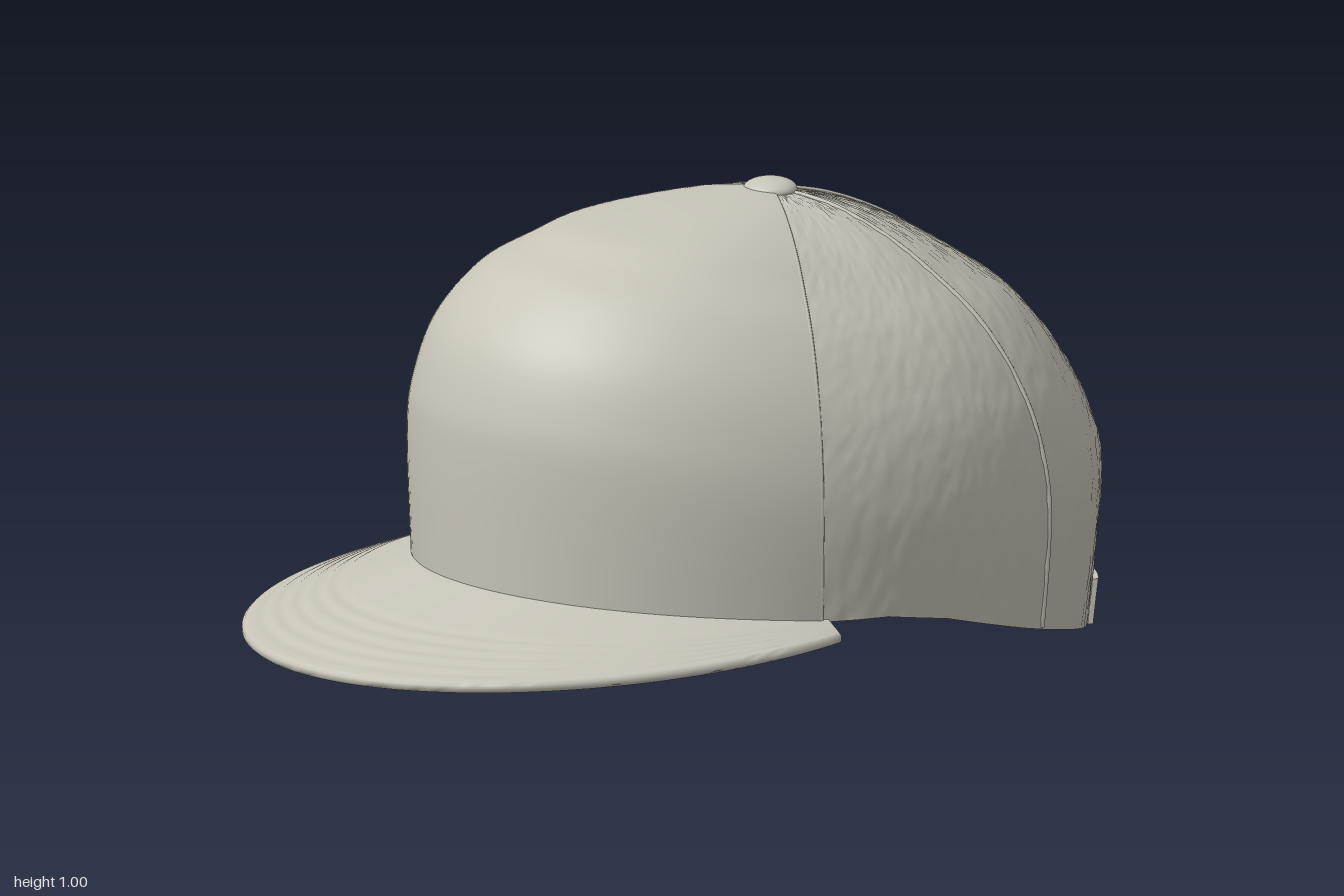
import * as THREE from 'three';
import { toCreasedNormals } from 'three/addons/utils/BufferGeometryUtils.js';

const V2 = (p) => new THREE.Vector2(p[0], p[1]);
const AXIS_Z = -0.26, TOP = 0.98, SEAM = Math.PI / 3, ARCH = 0.285;

// Crown profiles from button to rim: [fraction of radius, fraction of height]
const front = new THREE.SplineCurve([[0, 1], [0.32, 0.99], [0.56, 0.965], [0.68, 0.92], [0.805, 0.86],
  [0.927, 0.72], [0.985, 0.55], [1, 0.39], [0.99, 0]].map(V2));
const side = new THREE.SplineCurve([[0, 1], [0.22, 0.975], [0.44, 0.905], [0.61, 0.82], [0.76, 0.725],
  [0.88, 0.6], [0.96, 0.46], [1, 0.26], [0.98, 0]].map(V2));
const back = new THREE.SplineCurve([[0, 1], [0.19, 0.965], [0.39, 0.9], [0.595, 0.805], [0.73, 0.73],
  [0.865, 0.61], [0.96, 0.48], [1, 0.35], [0.95, 0]].map(V2));

// Height of the lower rim along z
const RIM = [[-1, 0.005], [-0.84, 0.025], [-0.5, 0.115], [-0.25, 0.185], [-0.1, 0.212], [0.06, 0.22], [0.56, 0.27]];
function rimY(z) {
  let k = 0;
  while (k < RIM.length - 2 && z > RIM[k + 1][0]) k++;
  const [a, b] = [RIM[k], RIM[k + 1]];
  return THREE.MathUtils.mapLinear(z, a[0], b[0], a[1], b[1]);
}

// Distance from the button axis to the oval plan outline
function planRadius(th) {
  const s = Math.sin(th) / 0.59, c = Math.cos(th) / 0.78, e = -0.04 / 0.78;
  const A = s * s + c * c, B = c * e, C = e * e - 1;
  return (-B + Math.sqrt(B * B - A * C)) / A;
}

// Point on the crown: angle from the front, t from button (0) to rim (1)
function crown(th, t, off = 0) {
  const c = Math.cos(th), w = c * c, R = planRadius(th);
  const p = side.getPoint(t).lerp((c > 0 ? front : back).getPoint(t), w);
  const y0 = rimY(AXIS_Z + R * c);
  const r = R * p.x + off * p.x;
  return new THREE.Vector3(r * Math.sin(th), y0 + (TOP - y0) * p.y + off * p.y * p.y, AXIS_Z + r * c);
}

// t at which the crown reaches height y
function tAtHeight(th, y) {
  let lo = 0, hi = 1;
  for (let k = 0; k < 24; k++) {
    const m = (lo + hi) / 2;
    if (crown(th, m).y > y) lo = m; else hi = m;
  }
  return lo;
}

// Lower end of the panel, raised over the arched opening at the back
function tEnd(th) {
  const d = Math.abs(th - Math.PI) / ARCH;
  return d >= 1 ? 1 : tAtHeight(th, 0.02 + 0.28 * Math.sqrt(1 - d * d));
}

const range = (a, b, n) => Array.from({ length: n + 1 }, (_, i) => a + (b - a) * i / n);

// Solid swept through closed sections; each section is an outer run then the inner run reversed
function loft(sections, crease = 0.9) {
  const n = sections[0].length, m = sections.length, pos = [], idx = [];
  sections.forEach((s) => s.forEach((p) => pos.push(p.x, p.y, p.z)));
  for (let i = 0; i < m - 1; i++) for (let j = 0; j < n; j++) {
    const k = (j + 1) % n, a = i * n + j, b = i * n + k;
    idx.push(a, b, a + n, b, b + n, a + n);
  }
  for (let j = 0; j < n / 2 - 1; j++) {
    const q = [j, j + 1, n - 2 - j, n - 1 - j], e = (m - 1) * n;
    idx.push(q[0], q[2], q[1], q[0], q[3], q[2]);
    idx.push(e + q[0], e + q[1], e + q[2], e + q[0], e + q[2], e + q[3]);
  }
  const g = new THREE.BufferGeometry();
  g.setAttribute('position', new THREE.Float32BufferAttribute(pos, 3));
  g.setIndex(idx);
  return toCreasedNormals(g, crease);
}

// Curved sheet on the crown between two offsets
function sheet(thetas, t0, t1, rows, outer, inner, bump = 0) {
  return loft(thetas.map((th, i) => {
    const ts = range(t0(th), t1(th), rows);
    const out = ts.map((t, j) => {
      const h = Math.sin(i * 127.1 + j * 311.7) * 43758.5453;
      return crown(th, t, outer + bump * (h - Math.floor(h) - 0.5));
    });
    return out.concat(ts.map((t) => crown(th, t, inner)).reverse());
  }));
}

export function createModel() {
  const cap = new THREE.Group();
  cap.name = 'cap';
  const fabric = new THREE.MeshStandardMaterial({ color: 0xc8c4b8 });
  fabric.name = 'stone grey fabric';
  const add = (name, geometry, parent = cap) => {
    const mesh = new THREE.Mesh(geometry, fabric);
    mesh.name = name;
    parent.add(mesh);
    return mesh;
  };

  // Crown: smooth front panel and slightly rough back panels with the arch
  add('frontPanel', sheet(range(-SEAM, SEAM, 64), () => 0, () => 1, 44, 0.004, -0.014));
  const half = range(SEAM, Math.PI - ARCH, 70)
    .concat(range(0, Math.PI / 2, 16).slice(1).map((a) => Math.PI - ARCH * Math.cos(a)));
  const backAngles = half.concat(half.slice(0, -1).reverse().map((a) => 2 * Math.PI - a));
  add('backPanels', sheet(backAngles, () => 0, tEnd, 56, 0, -0.014, 0.003));

  // Raised seams
  const seams = new THREE.Group();
  seams.name = 'seams';
  cap.add(seams);
  for (let k = 1; k <= 5; k++) {
    const th = k * SEAM, isFront = k === 1 || k === 5;
    const path = new THREE.CatmullRomCurve3(range(0.04, tEnd(th) - 0.005, 24).map((t) => crown(th, t, -0.003)));
    add('seam', new THREE.TubeGeometry(path, 60, isFront ? 0.007 : 0.008, 8), seams);
  }

  // Sweatband inside the rim
  add('sweatband', sheet(range(-Math.PI + ARCH, Math.PI - ARCH, 120),
    (th) => tAtHeight(th, crown(th, 1).y + 0.11), () => 1, 6, -0.012, -0.026));

  // Button on top
  const button = add('button', new THREE.SphereGeometry(1, 32, 16));
  button.scale.set(0.056, 0.024, 0.056);
  button.position.set(0, 0.976, AXIS_Z);

  // Brim: from the crown rim out to the oval edge, with stitched rings on top
  const brimSections = range(-1, 1, 96).map((u) => {
    const rim = crown(u * SEAM * 1.02, 1, -0.012), phi = u * 1.78;
    const edge = new THREE.Vector3(0.594 * Math.sin(phi), 0.173 + 0.02 * u * u, 0.2 + 0.794 * Math.cos(phi));
    const fade = 1 - u ** 4;
    const top = range(0, 1, 48).map((s) => {
      const p = rim.clone().lerp(edge, s);
      const ring = s > 0.42 && s < 0.95 ? Math.cos((s - 0.42) * 2 * Math.PI / 0.106) - 1 : 0;
      p.y += 0.011 + 0.0015 * ring * fade;
      return p;
    });
    const bottom = range(0, 1, 48).map((s) => {
      const p = rim.clone().lerp(edge, s);
      p.y -= 0.011;
      return p;
    });
    // Rounded lip
    const out = new THREE.Vector3(Math.sin(phi) * 0.8, 0, Math.cos(phi) * 0.6).normalize();
    const lip = [1, -1].map((s) => edge.clone().addScaledVector(out, 0.006).add(new THREE.Vector3(0, s * 0.005, 0)));
    return [...top, lip[0], lip[1], ...bottom.reverse()];
  });
  add('brim', loft(brimSections, 1.2));

  // Strap across the opening, with its row of snap studs
  const strap = new THREE.Group();
  strap.name = 'strap';
  cap.add(strap);
  add('strapBand', sheet(range(Math.PI - 0.51, Math.PI + 0.51, 40),
    (th) => tAtHeight(th, crown(th, 1).y + 0.095), () => 1, 4, 0.013, 0.001), strap);
  const studShape = new THREE.SphereGeometry(1, 16, 10);
  for (let k = -3; k <= 3; k++) {
    const th = Math.PI + k * 0.088;
    const stud = add('stud', studShape, strap);
    stud.position.copy(crown(th, tAtHeight(th, crown(th, 1).y + 0.048), 0.013));
    stud.rotation.y = th;
    stud.scale.set(0.019, 0.019, 0.01);
  }
  return cap;
}
